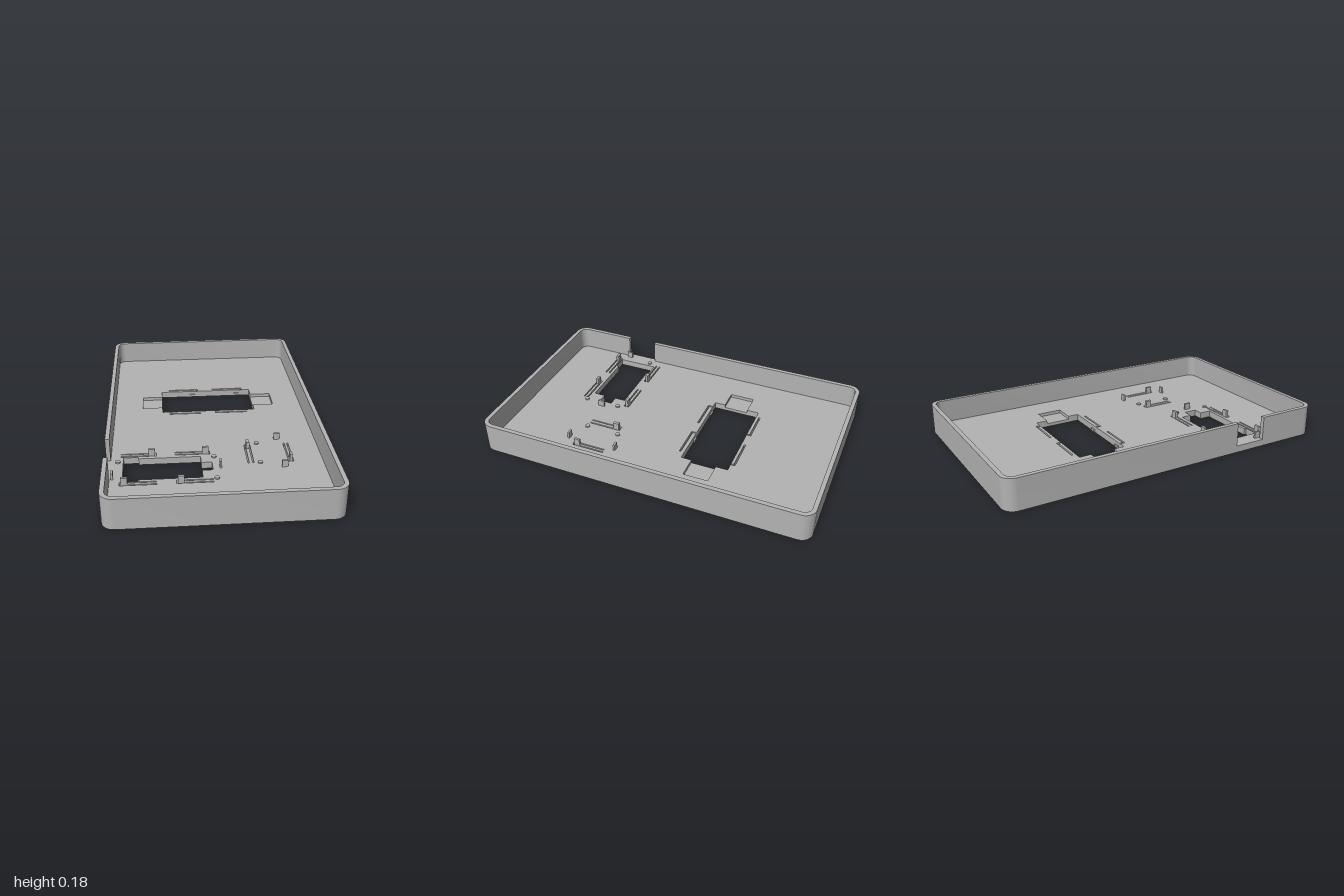
import * as THREE from 'three';
import { toCreasedNormals } from 'three/addons/utils/BufferGeometryUtils.js';

const W = 0.62, D = 1, WALL = 0.025, FLOOR = 0.04, TOP = 0.18, R = 0.07;
const NOTCH = [0.42, 0.61];
const V = (x, z) => new THREE.Vector2(x, z);

// Outline of a rounded rectangle running from the notch front to the notch back
function rimPoints(w, d, r) {
  const pts = [V(-w, NOTCH[1])];
  const corners = [[-1, 1, Math.PI], [1, 1, Math.PI / 2], [1, -1, 0], [-1, -1, -Math.PI / 2]];
  for (const [sx, sz, start] of corners) {
    for (let i = 0; i <= 12; i++) {
      const a = start - (i / 12) * Math.PI / 2;
      pts.push(V(sx * (w - r) + r * Math.cos(a), sz * (d - r) + r * Math.sin(a)));
    }
  }
  pts.push(V(-w, NOTCH[0]));
  return pts;
}

const rect = (x0, x1, z0, z1) => [V(x0, z0), V(x1, z0), V(x1, z1), V(x0, z1)];

// U-shaped slot that frees a springy tongue; its free end points along the angle
function slot({ x, z, w, angle }) {
  const l = 0.1, h = w / 2, t = 0.008;
  const c = Math.cos(angle), s = Math.sin(angle);
  return [[-l, -h], [l, -h], [l, h], [-l, h], [-l, h - t], [l - t, h - t], [l - t, t - h], [-l, t - h]]
    .map(([u, v]) => V(x + u * c - v * s, z + u * s + v * c));
}

// L-shaped slot beside the large opening
function edgeSlot(x0, x1, zOuter, zInner, endRight) {
  const t = 0.01, dz = Math.sign(zInner - zOuter) * t;
  const [a, b, e] = endRight ? [x0, x1, x1 - t] : [x1, x0, x0 + t];
  return [V(a, zOuter), V(b, zOuter), V(b, zInner), V(e, zInner), V(e, zOuter + dz), V(a, zOuter + dz)];
}

// Flat plate between two heights, drawn in plan
function slab(outline, holes, y0, y1) {
  const shape = new THREE.Shape(outline);
  for (const h of holes) shape.holes.push(new THREE.Path(h));
  const g = new THREE.ExtrudeGeometry(shape, { depth: y1 - y0, bevelEnabled: false });
  g.rotateX(Math.PI / 2).translate(0, y1, 0);
  return toCreasedNormals(g, 0.5);
}

export function createModel() {
  const model = new THREE.Group();
  const grey = new THREE.MeshStandardMaterial({ color: 0xb3b3b3 });
  grey.name = 'grey plastic';
  const add = (name, geometry, x = 0, y = 0, z = 0) => {
    const mesh = new THREE.Mesh(geometry, grey);
    mesh.name = name;
    mesh.position.set(x, y, z);
    model.add(mesh);
    return mesh;
  };

  // Spring clips around the small module openings
  const clips = [
    { x: -0.44, z: 0.37, w: 0.032, angle: 0 },
    { x: -0.135, z: 0.37, w: 0.032, angle: 0 },
    { x: -0.44, z: 0.66, w: 0.032, angle: Math.PI },
    { x: -0.135, z: 0.66, w: 0.032, angle: Math.PI },
    { x: 0.187, z: 0.4, w: 0.035, angle: -Math.PI / 2 },
    { x: 0.415, z: 0.4, w: 0.03, angle: Math.PI / 2 },
  ];

  // Openings through the whole floor
  const largeOpening = rect(-0.295, 0.29, -0.433, -0.145);
  const portOpening = [
    V(-0.525, 0.395), V(-0.44, 0.395), V(-0.44, 0.41), V(-0.09, 0.41), V(-0.09, 0.475), V(-0.03, 0.475),
    V(-0.03, 0.555), V(-0.09, 0.555), V(-0.09, 0.625), V(-0.44, 0.625), V(-0.44, 0.64), V(-0.525, 0.64),
  ];
  const slots = clips.map(slot);
  for (const [x0, x1] of [[-0.25, -0.055], [0.04, 0.24]]) {
    slots.push(edgeSlot(x0, x1, -0.46, -0.436, true));
    slots.push(edgeSlot(x0, x1, -0.113, -0.142, false));
  }

  // Floor: lower sheet, and upper sheet with the wider shallow pocket
  const outer = rimPoints(W, D, R);
  const pocket = [
    V(-0.42, -0.36), V(-0.295, -0.36), V(-0.295, -0.433), V(0.29, -0.433), V(0.29, -0.36), V(0.42, -0.36),
    V(0.42, -0.21), V(0.29, -0.21), V(0.29, -0.145), V(-0.295, -0.145), V(-0.295, -0.21), V(-0.42, -0.21),
  ];
  add('floorLower', slab(outer, [largeOpening, portOpening, ...slots], 0, 0.02));
  add('floorUpper', slab(outer, [pocket, portOpening, ...slots], 0.02, FLOOR));

  // Side wall, open at the cable notch
  const inner = rimPoints(W - WALL, D - WALL, R - WALL).reverse();
  add('sideWall', slab([...outer, ...inner], [], FLOOR, TOP));

  // Hooks on the free ends of the clips
  for (const { x, z, w, angle } of clips) {
    const hook = add('clipHook', new THREE.BoxGeometry(0.036, 0.04, w - 0.016),
      x + 0.074 * Math.cos(angle), FLOOR + 0.02, z + 0.074 * Math.sin(angle));
    hook.rotation.y = -angle;
  }

  // Catches inside the large opening
  for (const x of [-0.09, 0.205]) add('openingCatch', new THREE.BoxGeometry(0.035, 0.015, 0.012), x, 0.012, -0.43);
  for (const x of [-0.215, 0.075]) add('openingCatch', new THREE.BoxGeometry(0.035, 0.015, 0.012), x, 0.012, -0.148);

  // Small upright stops
  const stops = [[0.37, 0.245, 0.034, 0.012], [0.37, 0.55, 0.034, 0.012], [0.015, 0.52, 0.012, 0.04], [-0.58, 0.6, 0.012, 0.034]];
  for (const [x, z, sx, sz] of stops) add('stop', new THREE.BoxGeometry(sx, 0.04, sz), x, FLOOR + 0.02, z);

  // Low round locating pads
  for (const [x, z] of [[-0.555, 0.44], [-0.015, 0.42], [-0.015, 0.64], [0.245, 0.29], [0.24, 0.5]]) {
    add('locatingPad', new THREE.CylinderGeometry(0.014, 0.014, 0.008, 20), x, FLOOR + 0.004, z);
  }
  return model;
}
